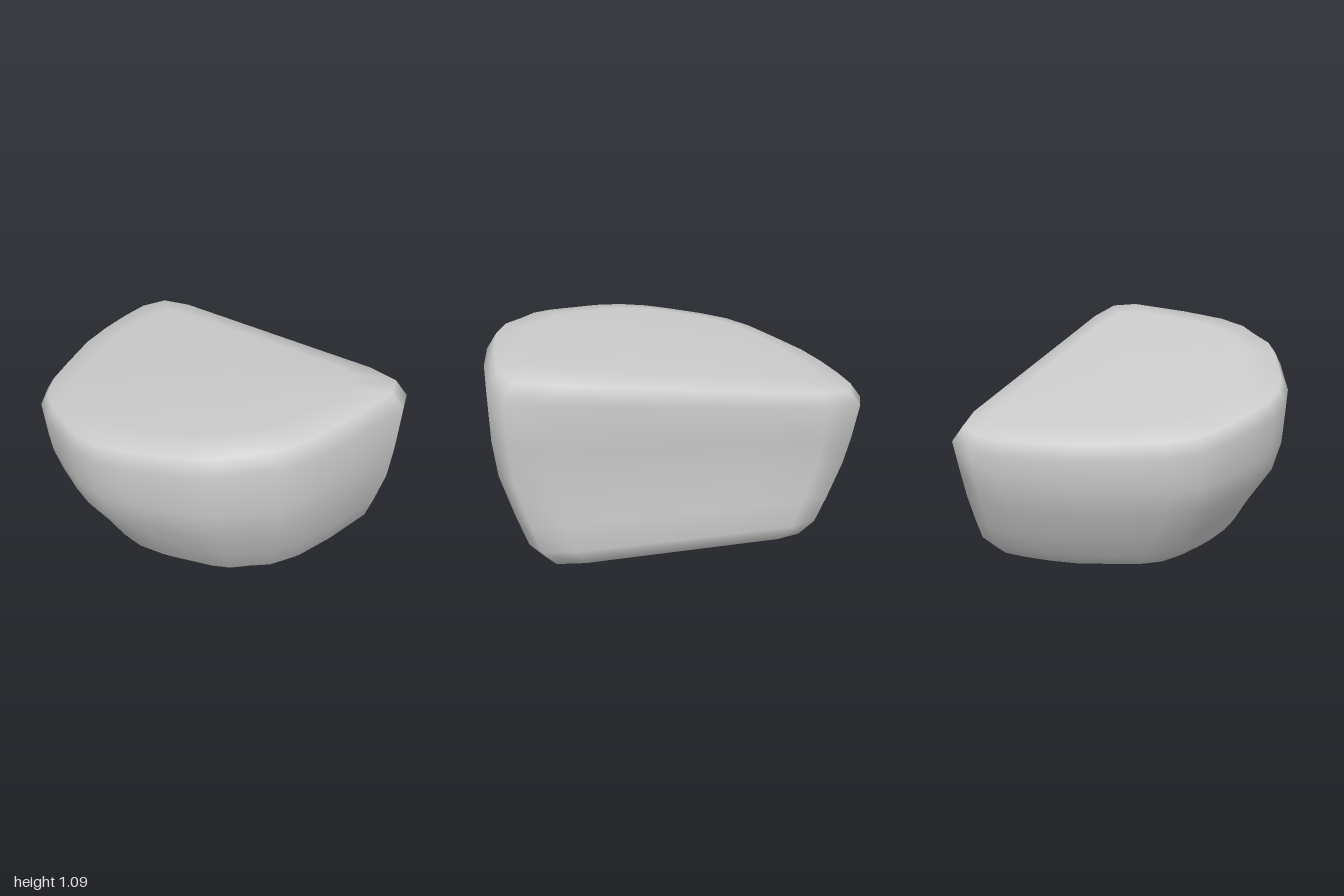
import * as THREE from 'three';

// Widest plan outline as [x, z], from the front round by the right, back and left
const OUTLINE = [
  [0.07, 0.77], [-0.1, 0.77], [-0.25, 0.73], [-0.45, 0.66], [-0.6, 0.575], [-0.71, 0.44],
  [-0.8, 0.25], [-0.91, 0], [-0.96, -0.2], [-0.99, -0.4], [-1, -0.57], [-0.94, -0.71],
  [-0.76, -0.755], [-0.4, -0.76], [0, -0.765], [0.4, -0.77], [0.72, -0.775], [0.93, -0.74],
  [1, -0.61], [0.98, -0.23], [0.94, 0.05], [0.87, 0.23], [0.76, 0.36], [0.67, 0.48],
  [0.56, 0.56], [0.4, 0.64], [0.24, 0.72],
];

// Cross-sections from base to top: height, min x, max x, max z (front), min z (back)
const LEVELS = [
  [0, -0.53, 0.57, 0.25, -0.63],
  [0.03, -0.69, 0.75, 0.39, -0.73],
  [0.12, -0.77, 0.83, 0.48, -0.765],
  [0.27, -0.845, 0.89, 0.565, -0.755],
  [0.48, -0.93, 0.965, 0.7, -0.75],
  [0.65, -0.97, 0.99, 0.75, -0.755],
  [0.88, -1, 1, 0.77, -0.775],
  [0.96, -0.95, 0.94, 0.73, -0.735],
  [0.99, -0.78, 0.75, 0.55, -0.6],
];

const TILT = 0.135; // rise of the top towards +x

function bodyGeometry() {
  const n = OUTLINE.length;
  const positions = [];
  const index = [];

  // The sections tilt more and more towards the top
  const addPoint = (x, y, z) => positions.push(x, y + TILT * x * Math.pow(y, 1.5), z);

  for (const [y, x0, x1, zFront, zBack] of LEVELS) {
    for (const [x, z] of OUTLINE) {
      const v = (z + 0.775) / 1.545;
      addPoint((x0 + x1) / 2 + x * (x1 - x0) / 2, y, THREE.MathUtils.lerp(zBack, zFront, v));
    }
  }
  const top = LEVELS.length - 1;
  const baseCentre = LEVELS.length * n;
  addPoint(0, 0, -0.2);
  addPoint(0, LEVELS[top][0], -0.1);

  for (let i = 0; i < n; i++) {
    const k = (i + 1) % n;
    // Wall
    for (let j = 0; j < top; j++) {
      const a = j * n + i, b = j * n + k;
      index.push(a, a + n, b + n, a, b + n, b);
    }
    // Flat base and sloping top
    index.push(baseCentre, i, k);
    index.push(baseCentre + 1, top * n + k, top * n + i);
  }

  const geometry = new THREE.BufferGeometry();
  geometry.setAttribute('position', new THREE.Float32BufferAttribute(positions, 3));
  geometry.setIndex(index);
  geometry.computeVertexNormals();
  return geometry;
}

export function createModel() {
  const group = new THREE.Group();
  const body = new THREE.Mesh(bodyGeometry(), new THREE.MeshStandardMaterial({ color: 0xcccccc }));
  body.name = 'roundedBlock';
  group.add(body);
  return group;
}
